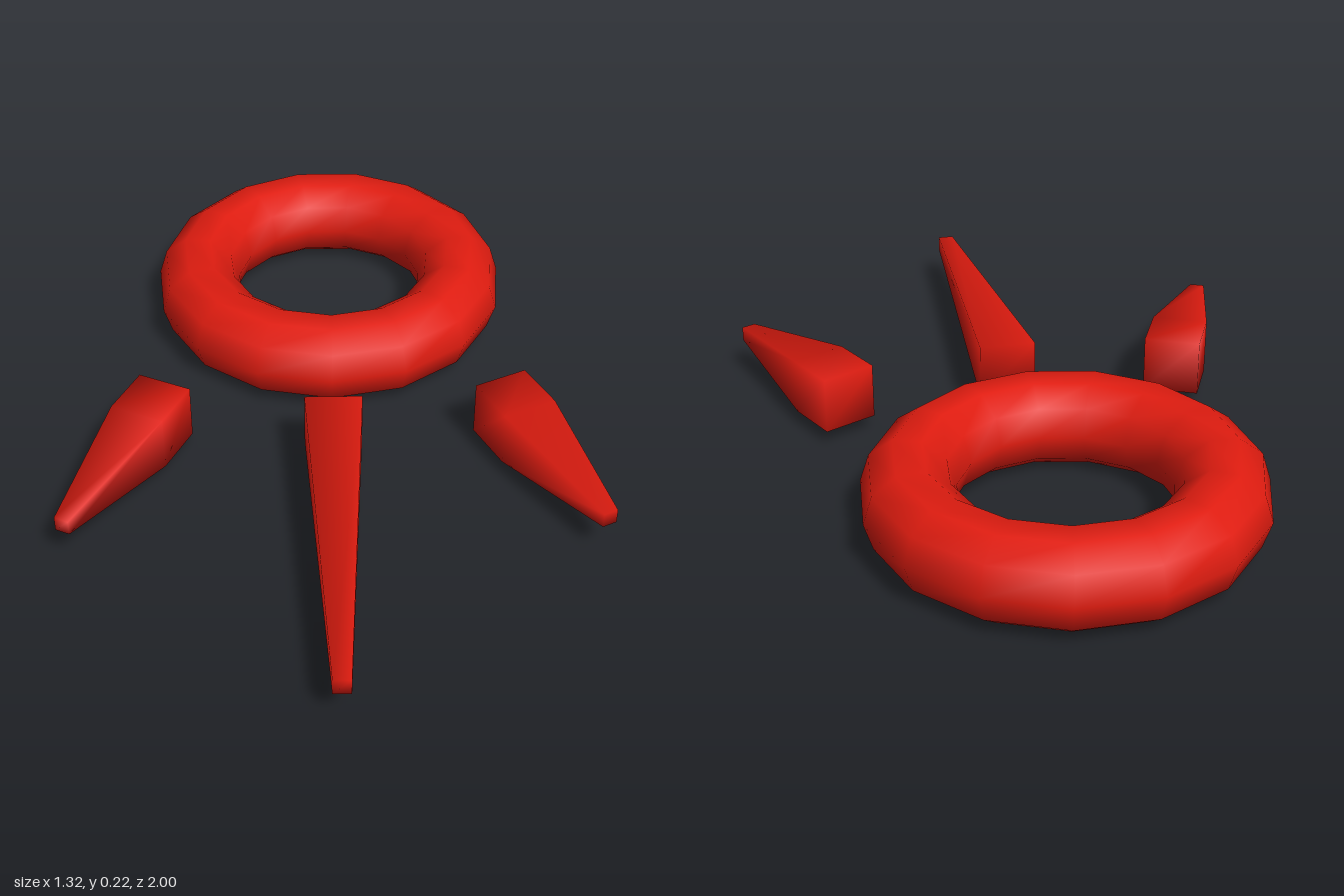
import * as THREE from 'three';
import { mergeVertices } from 'three/addons/utils/BufferGeometryUtils.js';

const red = new THREE.MeshStandardMaterial({ color: 0xe01c10 });
const MID = 0.11; // height of the common centre plane

// Square spike running from z = 0 to z = length; full width up to the shoulder, then tapering to the tip
function spikeGeometry(width, tip, length, shoulder) {
  const geo = new THREE.BoxGeometry(width, width, 1, 1, 1, shoulder > 0 ? 2 : 1);
  const p = geo.attributes.position;
  for (let i = 0; i < p.count; i++) {
    const t = p.getZ(i);
    if (t > 0.25) {
      p.setXYZ(i, p.getX(i) * tip / width, p.getY(i) * tip / width, length);
    } else {
      p.setZ(i, t < -0.25 ? 0 : shoulder);
    }
  }
  // share the corners so the shading is smooth
  geo.deleteAttribute('normal');
  geo.deleteAttribute('uv');
  const smooth = mergeVertices(geo);
  smooth.computeVertexNormals();
  return smooth;
}

export function createModel() {
  const model = new THREE.Group();
  const add = (name, geo, x, z, turn = 0) => {
    const mesh = new THREE.Mesh(geo, red);
    mesh.name = name;
    mesh.position.set(x, MID, z);
    mesh.rotation.y = turn;
    model.add(mesh);
  };

  // Ring lying flat, one corner of its 15 sides pointing forward
  const ring = new THREE.TorusGeometry(0.366, 0.113, 10, 15);
  ring.rotateX(Math.PI / 2).rotateY(-Math.PI / 2).scale(1, 1.02, 1);
  add('ring', ring, 0, -0.531);

  // Long middle spike
  add('middleSpike', spikeGeometry(0.146, 0.042, 0.9, 0), 0, 0.1);

  // Shorter side spikes, fanned outwards
  const sideSpike = spikeGeometry(0.144, 0.038, 0.505, 0.142);
  for (const [name, s] of [['leftSpike', 1], ['rightSpike', -1]]) {
    add(name, sideSpike, s * 0.425, 0.03, s * 0.447);
  }
  return model;
}
